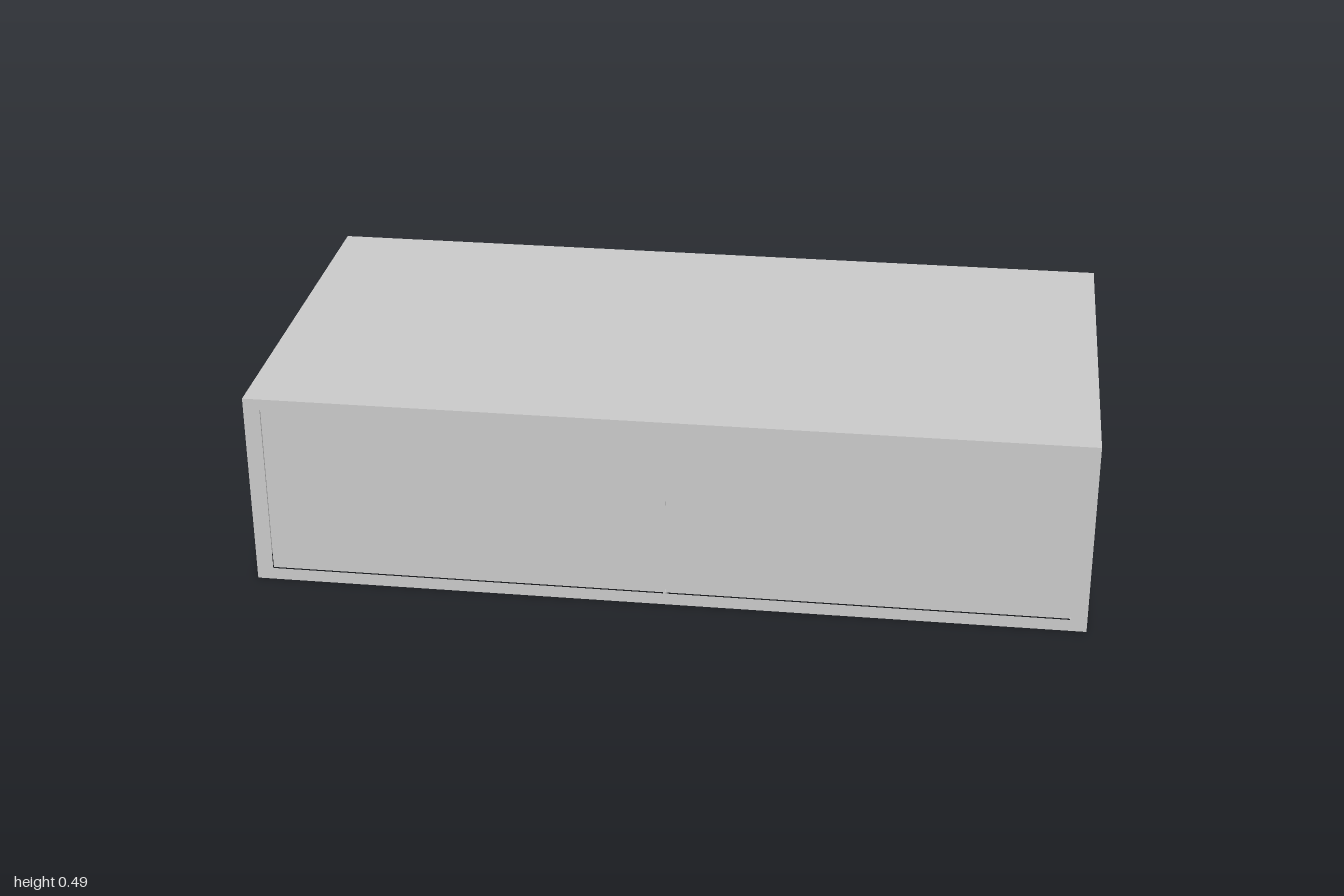
import * as THREE from 'three';

const material = new THREE.MeshStandardMaterial({ color: 0xcccccc, side: THREE.DoubleSide });
const H = 0.487; // overall height
const LOW = 0.03, HIGH = 0.457; // floor and ceiling of the cells

const trace = (path, [a0, a1, b0, b1]) => {
  path.moveTo(a0, b0);
  path.lineTo(a1, b0);
  path.lineTo(a1, b1);
  path.lineTo(a0, b1);
  path.closePath();
  return path;
};

export function createModel() {
  const group = new THREE.Group();

  // Thin board across an axis; rect is [z,y] for x, [x,z] for y, [x,y] for z
  function sheet(name, axis, at, rect, holes = []) {
    const shape = trace(new THREE.Shape(), rect);
    holes.forEach((h) => shape.holes.push(trace(new THREE.Path(), h)));
    const geometry = new THREE.ShapeGeometry(shape);
    if (axis === 'x') geometry.rotateY(-Math.PI / 2);
    if (axis === 'y') geometry.rotateX(Math.PI / 2);
    const mesh = new THREE.Mesh(geometry, material);
    mesh.position[axis] = at;
    mesh.name = name;
    group.add(mesh);
  }

  // Outer shell, with an opening in the back and in each end
  sheet('top', 'y', H, [-1, 1, -0.5, 0.5]);
  sheet('back', 'z', -0.5, [-1, 1, 0, H], [[0, 0.96, LOW, HIGH]]);
  sheet('leftEnd', 'x', 1, [-0.5, 0.5, 0, H], [[0.002, 0.478, LOW, HIGH]]);
  sheet('rightEnd', 'x', -1, [-0.5, 0.5, 0, H], [[-0.478, -0.002, LOW, HIGH]]);

  // Front frame with two barely recessed panels
  const panels = [[-0.96, -0.003, LOW, HIGH + 0.003], [0.003, 0.96, LOW, HIGH + 0.003]];
  sheet('frontFrame', 'z', 0.5, [-1, 1, 0, H], panels);
  panels.forEach((p) => sheet('frontPanel', 'z', 0.495, p));

  // Dividers between the four cells
  sheet('longDivider', 'z', 0, [-1, 1, 0, H]);
  sheet('crossDivider', 'x', 0, [-0.5, 0.5, 0, H]);

  // Floors and ceilings of the three closed cells; the fourth is open below
  const cells = [[0, 1, 0, 0.495], [0, 1, -0.5, 0], [-1, 0, -0.5, 0]];
  cells.forEach((c) => {
    sheet('cellFloor', 'y', LOW, c);
    sheet('cellCeiling', 'y', HIGH, c);
  });
  sheet('openCellCeiling', 'y', H - 0.004, [-0.96, -0.04, 0.02, 0.478]);

  // Inner side walls lining the openings
  sheet('frontLining', 'z', 0.478, [0, 1, LOW, HIGH]);
  sheet('backLining', 'z', -0.478, [-1, 0, LOW, HIGH]);
  sheet('sideLining', 'x', 0.96, [-0.5, 0, LOW, HIGH]);

  return group;
}
